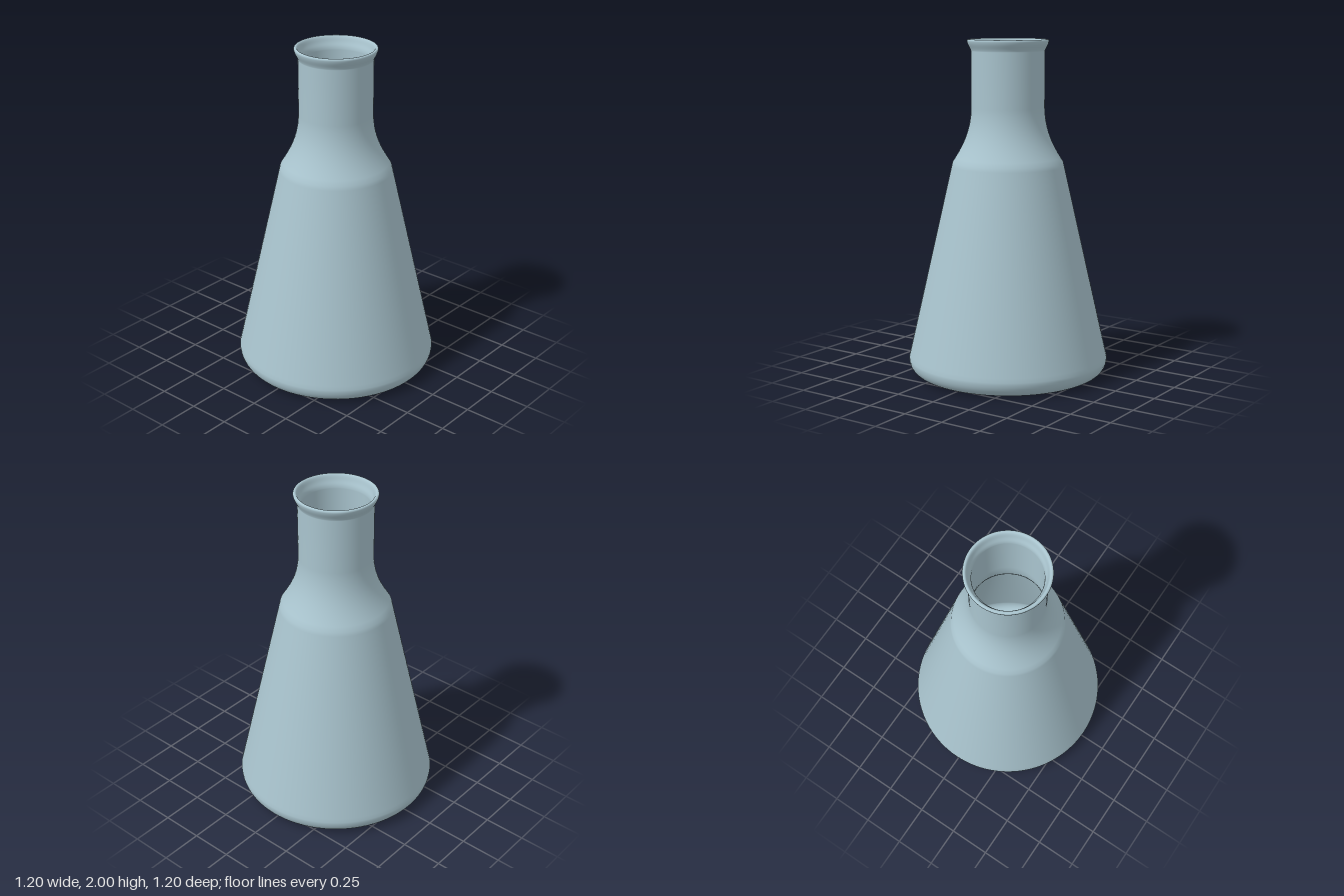
import * as THREE from 'three';

const v = (x, y) => new THREE.Vector2(x, y);

// Lathe profile of the vessel: up the outer wall, over the lip, down the inner wall
function flaskProfile() {
  const path = new THREE.Path();
  path.moveTo(0, 0);
  path.lineTo(0.48, 0);
  path.lineTo(0.51, 0.002);
  path.bezierCurveTo(0.57, 0.005, 0.6, 0.05, 0.598, 0.1);        // rounded heel
  path.lineTo(0.592, 0.125);
  path.lineTo(0.334, 1.255);                                     // cone
  path.lineTo(0.328, 1.28);
  path.bezierCurveTo(0.27, 1.37, 0.22, 1.46, 0.217, 1.6);        // shoulder
  path.lineTo(0.217, 1.93);                                      // neck
  path.bezierCurveTo(0.221, 1.95, 0.236, 1.965, 0.24, 1.987);    // flared lip
  path.bezierCurveTo(0.241, 1.997, 0.235, 2, 0.23, 2);
  path.bezierCurveTo(0.22, 2, 0.216, 1.985, 0.211, 1.97);
  path.bezierCurveTo(0.204, 1.95, 0.197, 1.945, 0.195, 1.92);
  path.lineTo(0.195, 1.6);                                       // inner wall
  path.bezierCurveTo(0.198, 1.46, 0.25, 1.36, 0.306, 1.275);
  path.lineTo(0.572, 0.115);
  path.bezierCurveTo(0.575, 0.06, 0.55, 0.03, 0.5, 0.025);
  path.lineTo(0.47, 0.025);
  path.lineTo(0, 0.025);                                         // inner floor
  return path.getPoints(10).map((p) => v(Math.max(p.x, 0), p.y));
}

export function createModel() {
  const group = new THREE.Group();
  group.name = 'conicalFlask';
  const material = new THREE.MeshStandardMaterial({ color: 0xa9c4ce });

  // Hollow body with neck and lip in one turned surface
  const flask = new THREE.Mesh(new THREE.LatheGeometry(flaskProfile(), 96), material);
  flask.name = 'flaskBody';
  group.add(flask);
  return group;
}
